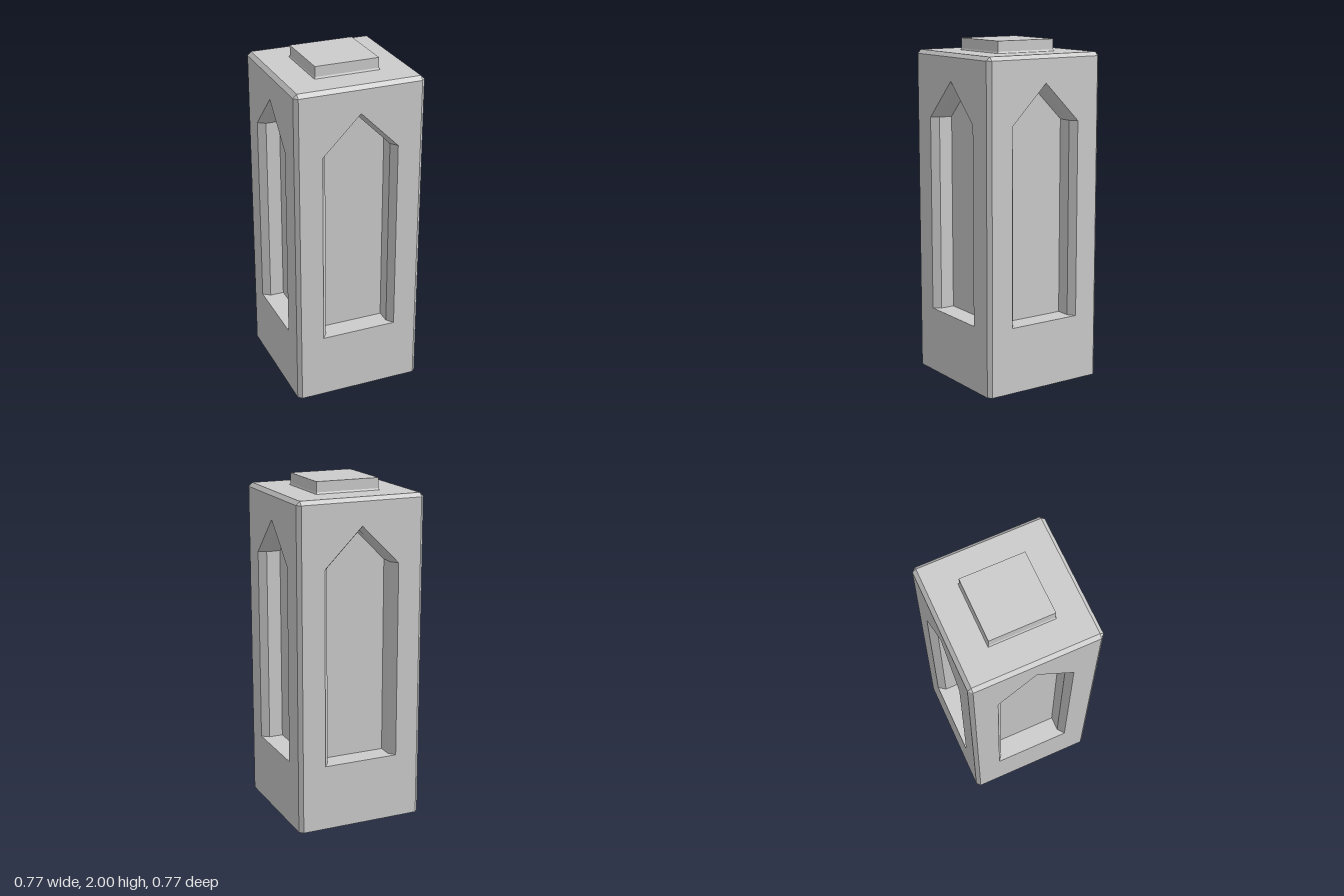
import * as THREE from 'three';

const material = new THREE.MeshStandardMaterial({ color: 0xcccccc, flatShading: true });

const HALF = 0.385;     // half width of the pillar
const INNER = 0.363;    // half width inside the edge chamfers
const SHOULDER = 1.908; // start of the top chamfer
const TOP = 1.93;

function mesh(name, geometry) {
  const m = new THREE.Mesh(geometry, material);
  m.name = name;
  return m;
}

// Joins successive rings of points with flat quads; keep(i) selects which sides are made.
function loft(rings, keep = () => true) {
  const pos = [];
  for (let r = 0; r < rings.length - 1; r++) {
    const lo = rings[r], hi = rings[r + 1];
    for (let i = 0; i < lo.length; i++) {
      if (!keep(i, r)) continue;
      const j = (i + 1) % lo.length;
      for (const p of [lo[i], lo[j], hi[j], lo[i], hi[j], hi[i]]) pos.push(...p);
    }
  }
  const g = new THREE.BufferGeometry();
  g.setAttribute('position', new THREE.Float32BufferAttribute(pos, 3));
  g.computeVertexNormals();
  return g;
}

// Octagonal ring: a square of half width a with corners cut back to b
const ring = (a, b, y) => [
  [-b, y, a], [b, y, a], [a, y, b], [a, y, -b],
  [b, y, -a], [-b, y, -a], [-a, y, -b], [-a, y, b],
];

// Pointed-arch outline of half width w, counter-clockwise
const arch = (w) => [[-w, 0.39], [w, 0.39], [w, 1.545], [0, 1.545 + w], [-w, 1.545]];
const toShape = (pts) => new THREE.Shape(pts.map(([x, y]) => new THREE.Vector2(x, y)));

// One side of the pillar with its recessed pointed niche
function createSide() {
  const side = new THREE.Group();
  const opening = arch(0.226), recess = arch(0.195);
  const at = (pts, z) => pts.map(([x, y]) => [x, y, z]);

  const face = toShape([[-INNER, 0], [INNER, 0], [INNER, SHOULDER], [-INNER, SHOULDER]]);
  face.holes.push(toShape(opening));
  side.add(mesh('sideFace', new THREE.ShapeGeometry(face).translate(0, 0, HALF)));

  // splayed rim, then straight walls
  side.add(mesh('nicheWalls', loft([
    at(opening, HALF), at(recess, HALF - 0.042), at(recess, HALF - 0.125),
  ])));
  side.add(mesh('nicheBack',
    new THREE.ShapeGeometry(toShape(recess)).translate(0, 0, HALF - 0.125)));
  return side;
}

export function createModel() {
  const model = new THREE.Group();
  model.name = 'pillar';

  // Four identical niched sides
  ['front', 'left', 'back', 'right'].forEach((name, i) => {
    const side = createSide();
    side.name = name + 'Side';
    side.rotation.y = i * Math.PI / 2;
    model.add(side);
  });

  // Vertical corner chamfers and the chamfer around the top
  model.add(mesh('edgeChamfers', loft(
    [ring(HALF, INNER, 0), ring(HALF, INNER, SHOULDER), ring(INNER, INNER, TOP)],
    (i, r) => r === 1 || i % 2 === 1,
  )));

  // Top and underside
  const top = new THREE.PlaneGeometry(INNER * 2, INNER * 2).rotateX(-Math.PI / 2);
  model.add(mesh('topFace', top.translate(0, TOP, 0)));
  const under = toShape(ring(HALF, INNER, 0).map(([x, , z]) => [x, z]));
  model.add(mesh('underside', new THREE.ShapeGeometry(under).rotateX(Math.PI / 2)));

  // Raised square cap with a slight flare at its foot
  const square = (a, y) => [[-a, y, a], [a, y, a], [a, y, -a], [-a, y, -a]];
  const cap = new THREE.Group();
  cap.name = 'cap';
  cap.add(mesh('capWalls', loft([square(0.195, TOP), square(0.19, 1.94), square(0.19, 2)])));
  const lid = new THREE.PlaneGeometry(0.38, 0.38).rotateX(-Math.PI / 2);
  cap.add(mesh('capTop', lid.translate(0, 2, 0)));
  model.add(cap);

  return model;
}
